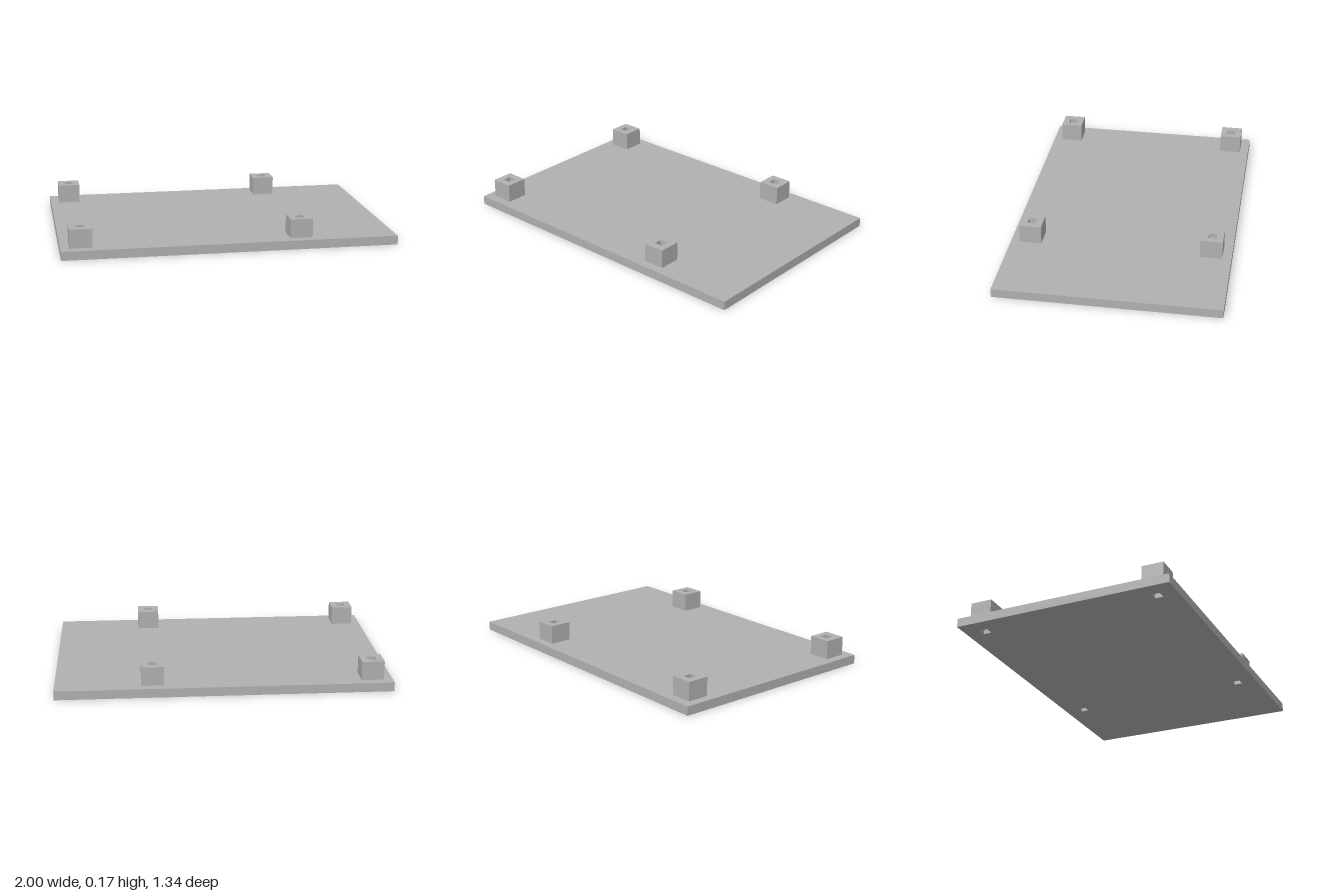
import * as THREE from 'three';

const HOLE = 0.05;
const POSTS = [];
for (const x of [-0.88, 0.424]) for (const z of [-0.55, 0.55]) POSTS.push([x, z]);

// Traces a centred rectangle on a Shape or Path
function rect(path, x, y, w, h) {
  path.moveTo(x - w / 2, y - h / 2);
  path.lineTo(x + w / 2, y - h / 2);
  path.lineTo(x + w / 2, y + h / 2);
  path.lineTo(x - w / 2, y + h / 2);
  path.closePath();
  return path;
}

// Upright slab with square through-holes, standing on y = 0
function slab(w, d, height, holes) {
  const shape = rect(new THREE.Shape(), 0, 0, w, d);
  for (const [x, z] of holes) shape.holes.push(rect(new THREE.Path(), x, -z, HOLE, HOLE));
  const geo = new THREE.ExtrudeGeometry(shape, { depth: height, bevelEnabled: false });
  return geo.rotateX(-Math.PI / 2);
}

export function createModel() {
  const group = new THREE.Group();
  group.name = 'mountingPlate';
  const grey = new THREE.MeshStandardMaterial({ color: 0xb0b0b0 });
  grey.name = 'grey';

  // Base plate, drilled under every post
  const plateHeight = 0.054;
  const plate = new THREE.Mesh(slab(2, 1.344, plateHeight, POSTS), grey);
  plate.name = 'basePlate';
  group.add(plate);

  // Four hollow square standoffs
  const postGeo = slab(0.134, 0.134, 0.114, [[0, 0]]);
  POSTS.forEach(([x, z], i) => {
    const post = new THREE.Mesh(postGeo, grey);
    post.name = `standoff${i + 1}`;
    post.position.set(x, plateHeight, z);
    group.add(post);
  });

  return group;
}
